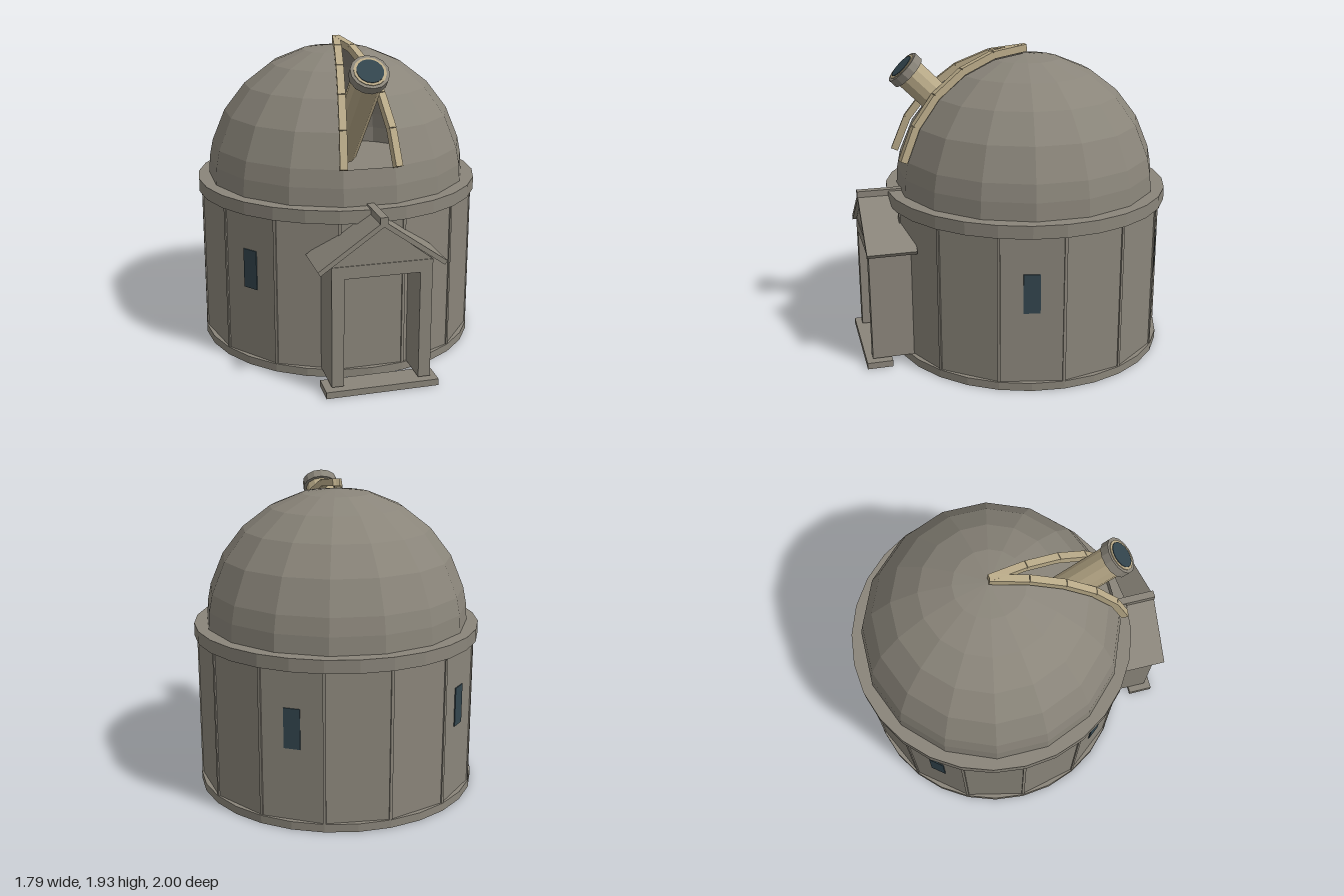
import * as THREE from 'three';

const mat = (name, color, extra = {}) => {
  const m = new THREE.MeshStandardMaterial({ color, flatShading: true, ...extra });
  m.name = name;
  return m;
};

export function createModel() {
  const stone = mat('stone grey', 0x8a857a);
  const shell = mat('dome grey', 0x8a857a, { side: THREE.DoubleSide });
  const brass = mat('pale brass', 0xbaab89);
  const glass = mat('dark glass', 0x33454e);

  const model = new THREE.Group();
  model.name = 'observatory';
  const add = (parent, name, geometry, material, x = 0, y = 0, z = 0) => {
    const mesh = new THREE.Mesh(geometry, material);
    mesh.name = name;
    mesh.position.set(x, y, z);
    parent.add(mesh);
    return mesh;
  };
  const box = (parent, name, w, h, d, material, x, y, z) =>
    add(parent, name, new THREE.BoxGeometry(w, h, d), material, x, y, z);

  // Round building, set back behind the porch
  const tower = new THREE.Group();
  tower.name = 'tower';
  tower.position.z = -0.105;
  model.add(tower);

  const sides = 14, step = (Math.PI * 2) / sides, wallR = 0.873;
  add(tower, 'base', new THREE.CylinderGeometry(0.882, 0.882, 0.05, 28), stone, 0, 0.025, 0);
  add(tower, 'wall', new THREE.CylinderGeometry(wallR, wallR, 0.94, sides, 1, false, step / 2), stone, 0, 0.51, 0);
  add(tower, 'cornice', new THREE.CylinderGeometry(0.895, 0.895, 0.08, 28), stone, 0, 1.01, 0);

  // Thin ribs on the wall corners
  for (let i = 0; i < sides; i++) {
    const a = (i + 0.5) * step;
    const rib = box(tower, 'wallRib', 0.018, 0.93, 0.02, stone,
      Math.sin(a) * 0.869, 0.51, Math.cos(a) * 0.869);
    rib.rotation.y = a;
  }

  // Windows on every third wall panel, counted from the porch
  const flatR = wallR * Math.cos(step / 2) + 0.002;
  for (const i of [3, 6, 9, 12]) {
    const a = i * step;
    const pane = box(tower, 'window', 0.1, 0.245, 0.009, glass,
      Math.sin(a) * flatR, 0.617, Math.cos(a) * flatR);
    pane.rotation.y = a;
  }

  // Dome with one meridian strip left open as the viewing slit
  const dome = new THREE.Group();
  dome.name = 'dome';
  dome.position.y = 1.05;
  tower.add(dome);
  const half = Math.PI / 16, ring = Math.PI / 12, domeR = 0.825, start = Math.PI / 2 + half;
  add(dome, 'domeLowerBand',
    new THREE.SphereGeometry(domeR, 16, 1, start, Math.PI * 2, 5 * ring, ring), shell);
  add(dome, 'domeShell',
    new THREE.SphereGeometry(domeR, 15, 5, start, Math.PI * 2 - 2 * half, 0, 5 * ring), shell);

  // Segmented rails along both edges of the slit
  for (const side of [-1, 1]) {
    const rail = new THREE.Group();
    rail.name = 'slitRail';
    rail.rotation.y = side * half;
    dome.add(rail);
    for (let i = 0; i < 5; i++) {
      const el = (i + 1.5) * ring, r = 0.852;
      const piece = box(rail, 'railSegment', 0.045, 0.226, 0.045, brass,
        0, r * Math.sin(el), r * Math.cos(el));
      piece.rotation.x = -el;
    }
  }

  // Telescope, pointing out of the slit at 45 degrees
  const telescope = new THREE.Group();
  telescope.name = 'telescope';
  telescope.rotation.x = Math.PI / 4;
  dome.add(telescope);
  add(telescope, 'tube', new THREE.CylinderGeometry(0.095, 0.095, 0.82, 12), brass, 0, 0.65, 0);
  add(telescope, 'tubeCollar', new THREE.CylinderGeometry(0.115, 0.115, 0.055, 14), stone, 0, 1.068, 0);
  add(telescope, 'lensRim', new THREE.CylinderGeometry(0.096, 0.096, 0.006, 14), brass, 0, 1.097, 0);
  add(telescope, 'lens', new THREE.CylinderGeometry(0.08, 0.08, 0.006, 16), glass, 0, 1.101, 0);

  // Porch with side walls, lintel, gable and pitched roof
  const porch = new THREE.Group();
  porch.name = 'porch';
  model.add(porch);
  const slope = Math.atan2(0.26, 0.37);
  for (const side of [-1, 1]) {
    box(porch, 'porchWall', 0.073, 0.735, 0.26, stone, side * 0.262, 0.4175, 0.83);
    const slab = box(porch, 'porchRoof', 0.46, 0.028, 0.305, stone, side * 0.186, 0.892, 0.825);
    slab.rotation.z = -side * slope;
  }
  box(porch, 'lintel', 0.6, 0.075, 0.26, stone, 0, 0.7475, 0.83);
  box(porch, 'ridge', 0.046, 0.045, 0.31, stone, 0, 1.04, 0.825);
  box(porch, 'doorStep', 0.68, 0.04, 0.16, stone, 0, 0.022, 0.92);

  const gable = new THREE.Shape([
    new THREE.Vector2(-0.3, 0.785), new THREE.Vector2(0.3, 0.785), new THREE.Vector2(0, 1.01),
  ]);
  add(porch, 'gable', new THREE.ExtrudeGeometry(gable, { depth: 0.25, bevelEnabled: false }), stone, 0, 0, 0.705);

  return model;
}
